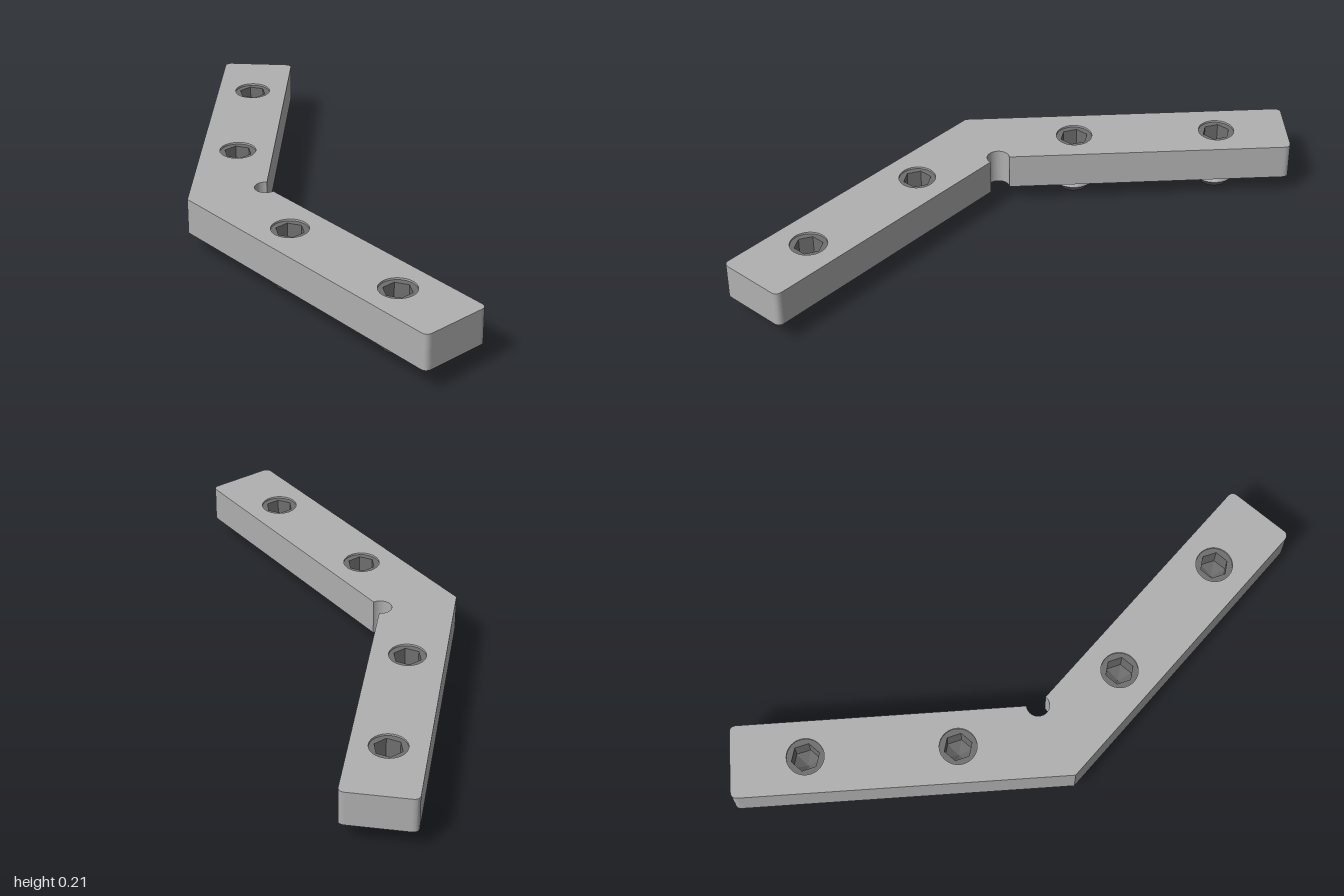
import * as THREE from 'three';

const plateMat = new THREE.MeshStandardMaterial({ name: 'plate grey', color: 0xb0b0b0 });
const shaftMat = new THREE.MeshStandardMaterial({ name: 'screw light grey', color: 0xd0d0d0 });
const endMat = new THREE.MeshStandardMaterial({ name: 'screw dark grey', color: 0x707070 });
const socketMat = new THREE.MeshStandardMaterial({ name: 'socket dark grey', color: 0x686868, side: THREE.DoubleSide });

const BOTTOM = 0.08, TOP = 0.21, HOLE = 0.065, HEX = 0.05;
const SCREWS = [[-0.735, -0.24], [-0.365, 0.13], [0.21, 0.37], [0.735, 0.37]];

// Extrudes a shape drawn in (x, -z) upwards from y0 to y1
function extrudeUp(shape, y0, y1) {
  const g = new THREE.ExtrudeGeometry(shape, { depth: y1 - y0, bevelEnabled: false, curveSegments: 24 });
  return g.rotateX(-Math.PI / 2).translate(0, y0, 0);
}

function addMesh(group, name, geometry, material, y = 0) {
  const mesh = new THREE.Mesh(geometry, material);
  mesh.name = name;
  mesh.position.y = y;
  group.add(mesh);
}

function circlePath(x, y, r) {
  return new THREE.Path().absarc(x, y, r, 0, Math.PI * 2, true);
}

// Bent bar with rounded ends, a relief notch in the inner corner and screw holes
function plateGeometry() {
  const s = new THREE.Shape();
  const k = 0.025, d = k * Math.SQRT1_2;
  s.moveTo(-0.18, -0.5);
  s.lineTo(1 - k, -0.5);
  s.quadraticCurveTo(1, -0.5, 1, -0.5 + k);
  s.lineTo(1, -0.24 - k);
  s.quadraticCurveTo(1, -0.24, 1 - k, -0.24);
  s.lineTo(-0.033, -0.24);
  s.absarc(-0.073, -0.24, 0.04, 0, Math.PI * 0.75, true);
  s.lineTo(-0.826 + d, 0.512 - d);
  s.quadraticCurveTo(-0.826, 0.512, -0.826 - d, 0.512 - d);
  s.lineTo(-1.01 + d, 0.33 + d);
  s.quadraticCurveTo(-1.01, 0.33, -1.01 + d, 0.33 - d);
  s.closePath();
  for (const [x, z] of SCREWS) s.holes.push(circlePath(x, -z, HOLE));
  return extrudeUp(s, BOTTOM, TOP);
}

// Set screw: shaft, chamfered tip, and a hexagon socket with a pointed floor
function makeScrew() {
  const g = new THREE.Group();
  g.name = 'setScrew';
  addMesh(g, 'screwShaft', new THREE.CylinderGeometry(0.0775, 0.0775, 0.05, 40), shaftMat, 0.055);
  addMesh(g, 'screwTip', new THREE.CylinderGeometry(0.0775, 0.053, 0.03, 40), endMat, 0.015);

  const ring = new THREE.Shape().absarc(0, 0, HOLE, 0, Math.PI * 2, false);
  const hex = [];
  for (let i = 0; i < 6; i++) {
    const a = Math.PI / 2 - i * Math.PI / 3;
    hex.push(new THREE.Vector2(HEX * Math.cos(a), HEX * Math.sin(a)));
  }
  ring.holes.push(new THREE.Path(hex));
  addMesh(g, 'socketRing', extrudeUp(ring, 0.13, 0.203), endMat);

  const floor = new THREE.CylinderGeometry(HEX, 0, 0.03, 6, 1, true).toNonIndexed();
  floor.computeVertexNormals();
  addMesh(g, 'socketFloor', floor, socketMat, 0.115);
  return g;
}

export function createModel() {
  const model = new THREE.Group();
  model.name = 'angledBracket';
  addMesh(model, 'bracketPlate', plateGeometry(), plateMat);
  for (const [x, z] of SCREWS) {
    const screw = makeScrew();
    screw.position.set(x, 0, z);
    model.add(screw);
  }
  return model;
}
